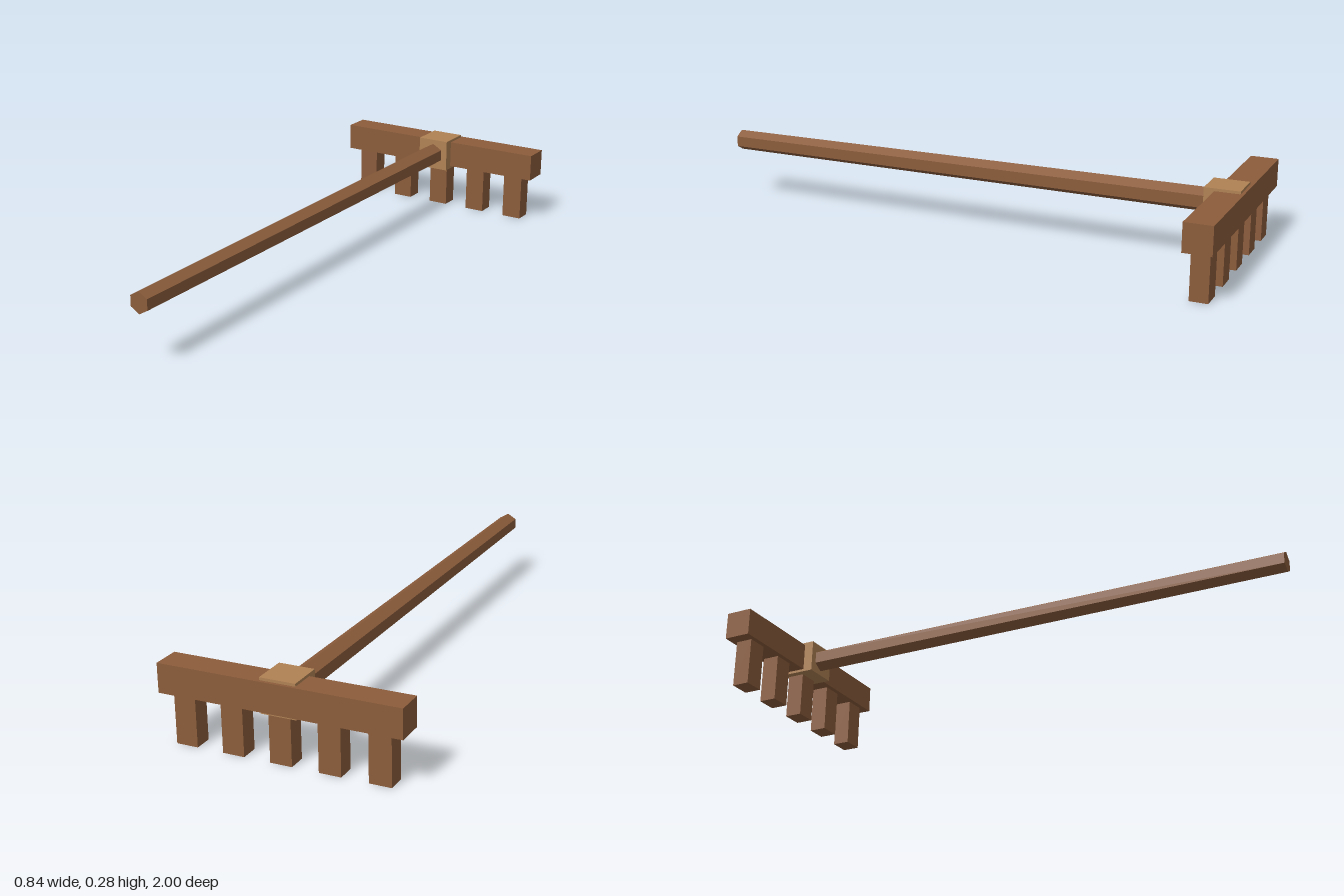
import * as THREE from 'three';

export function createModel() {
  const rake = new THREE.Group();
  rake.name = 'rake';

  const wood = new THREE.MeshStandardMaterial({ color: 0x8b5c3b, flatShading: true });
  wood.name = 'brown wood';
  const paleWood = new THREE.MeshStandardMaterial({ color: 0xb08254, flatShading: true });
  paleWood.name = 'pale wood';

  const axisY = 0.224; // height of the handle and crossbar centre

  function add(name, geometry, material, x, y, z) {
    const mesh = new THREE.Mesh(geometry, material);
    mesh.name = name;
    mesh.position.set(x, y, z);
    rake.add(mesh);
  }

  // Crossbar of the head
  add('crossbar', new THREE.BoxGeometry(0.838, 0.101, 0.1), wood, 0, axisY, -0.95);

  // Block joining handle and crossbar
  add('socketBlock', new THREE.BoxGeometry(0.124, 0.12, 0.125), paleWood, 0, axisY, -0.926);

  // Five teeth hanging below the crossbar
  for (let i = -2; i <= 2; i++) {
    add(`tooth${i + 3}`, new THREE.BoxGeometry(0.076, 0.18, 0.064), wood, i * 0.168, 0.09, -0.95);
  }

  // Six-sided handle, slightly thinner at the front end
  const handle = new THREE.CylinderGeometry(0.038, 0.043, 1.92, 6);
  handle.rotateX(Math.PI / 2);
  add('handle', handle, wood, 0, axisY, 0.04);

  return rake;
}
